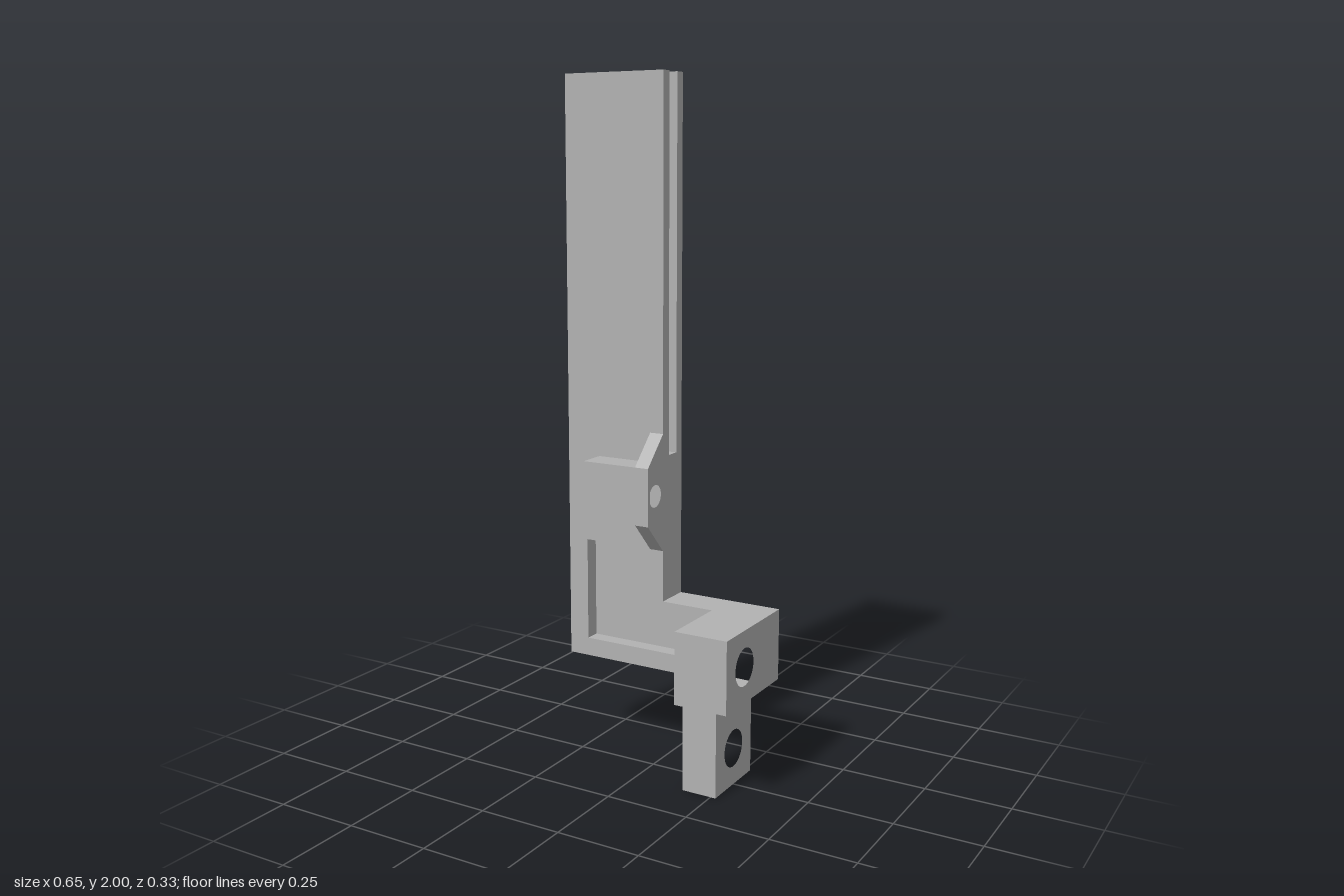
import * as THREE from 'three';

const grey = new THREE.MeshStandardMaterial({ color: 0xb2b2b2 });
grey.name = 'plainGrey';

const BACK = -0.163, FRONT = -0.055, FLOOR = -0.1;

const outline = (pts) => new THREE.Shape(pts.map(([a, b]) => new THREE.Vector2(a, b)));

// Extrudes [x, y] points from z0 to z1, with an optional hole outline
function alongZ(name, pts, z0, z1, hole) {
  const shape = outline(pts);
  if (hole) shape.holes.push(outline(hole));
  const geo = new THREE.ExtrudeGeometry(shape, { depth: z1 - z0, bevelEnabled: false });
  geo.translate(0, 0, z0);
  return named(name, geo);
}

// Extrudes [z, y] points from x0 to x1, with an optional round hole [z, y, radius]
function alongX(name, pts, x0, x1, hole) {
  const shape = outline(pts.map(([z, y]) => [-z, y]));
  if (hole) {
    const path = new THREE.Path();
    path.absarc(-hole[0], hole[1], hole[2], 0, Math.PI * 2, true);
    shape.holes.push(path);
  }
  const geo = new THREE.ExtrudeGeometry(shape, { depth: x1 - x0, bevelEnabled: false, curveSegments: 32 });
  geo.rotateY(Math.PI / 2).translate(x0, 0, 0);
  return named(name, geo);
}

// Extrudes [x, z] points from y0 to y1
function alongY(name, pts, y0, y1) {
  const geo = new THREE.ExtrudeGeometry(outline(pts.map(([x, z]) => [x, -z])), { depth: y1 - y0, bevelEnabled: false });
  geo.rotateX(-Math.PI / 2).translate(0, y0, 0);
  return named(name, geo);
}

function named(name, geo) {
  const mesh = new THREE.Mesh(geo, grey);
  mesh.name = name;
  return mesh;
}

const rect = (a0, a1, b0, b1) => [[a0, b0], [a1, b0], [a1, b1], [a0, b1]];

export function createModel() {
  const model = new THREE.Group();
  model.name = 'slottedBracket';

  // Upright with a deep slot open at its top and inner edge
  model.add(alongY('slottedUpright', [
    [-0.325, BACK], [0, BACK], [0, -0.132], [-0.153, -0.132],
    [-0.153, -0.088], [0, -0.088], [0, FRONT], [-0.325, FRONT],
  ], 0.92, 2));

  // L-shaped base: solid back layer and a front layer with an L-shaped pocket
  const base = [[-0.325, 0.275], [0.163, 0.275], [0.163, 0.487], [0, 0.487], [0, 0.92], [-0.325, 0.92]];
  const pocket = [[-0.262, 0.33], [0.107, 0.33], [0.107, 0.437], [-0.11, 0.437], [-0.11, 0.64], [-0.262, 0.64]];
  model.add(
    alongZ('baseBack', base, BACK, FLOOR),
    alongZ('baseFrontPocket', base, FLOOR, FRONT, pocket),
  );

  // Forward arm and lower leg, each bored through sideways
  model.add(
    alongX('arm', rect(BACK, 0.163, 0.275, 0.487), 0.163, 0.325, [0.055, 0.381, 0.055]),
    alongX('leg', rect(-0.108, 0.109, 0, 0.275), 0.16, 0.266, [0.001, 0.11, 0.055]),
  );

  // Front boss with a sloped end rib and a blind side hole
  const boss = rect(FRONT, 0.03, 0.73, 0.9);
  const rib = [[FRONT, 0.64], [0.03, 0.73], [0.03, 0.9], [FRONT, 0.987]];
  const bore = [-0.01, 0.813, 0.033];
  model.add(
    alongX('bossEnd', boss, -0.217, -0.15),
    alongX('bossBored', boss, -0.15, -0.043, bore),
    alongX('slopedRib', rib, -0.043, 0, bore),
  );

  return model;
}
